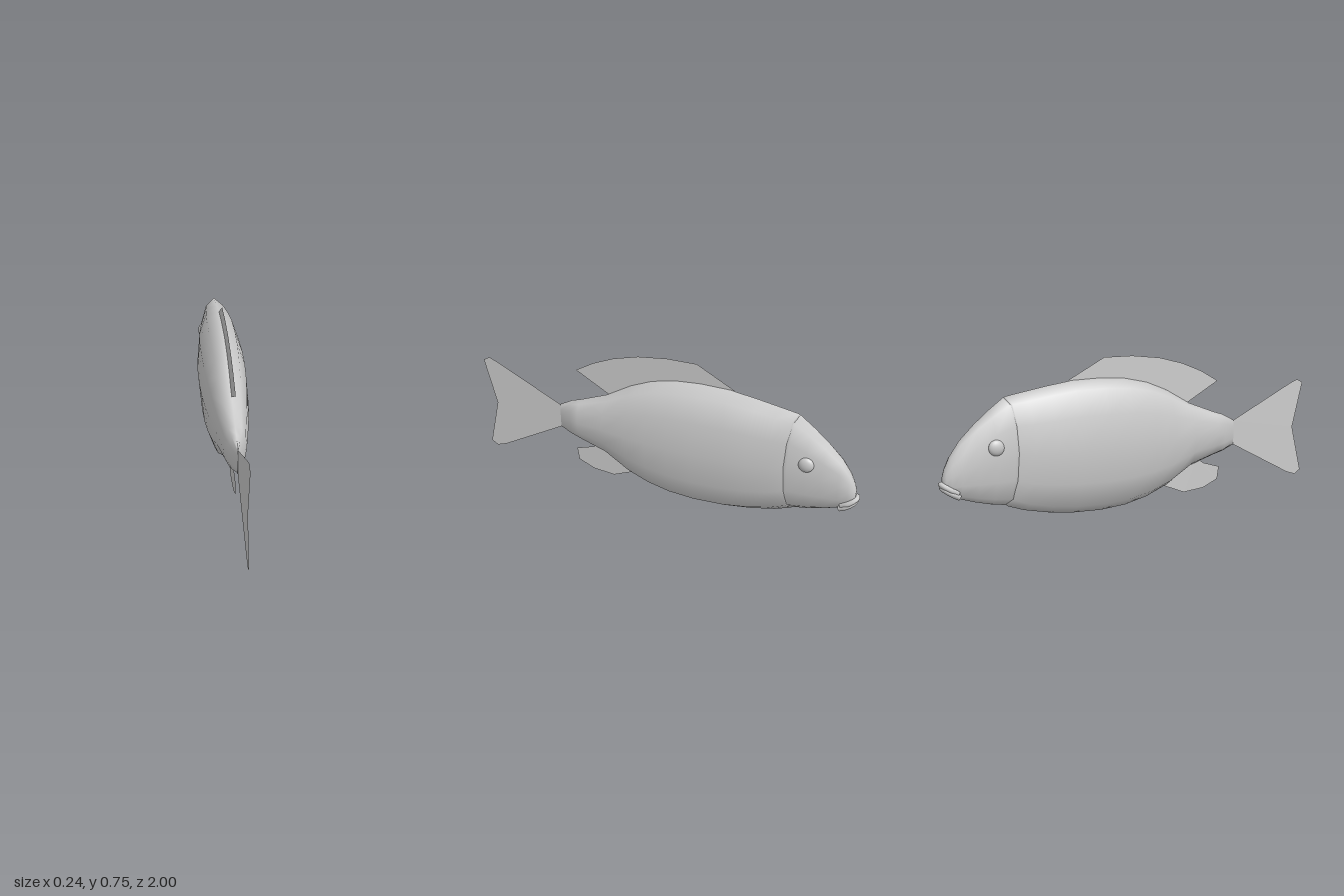
import * as THREE from 'three';

const SIDES = 12;
const grey = new THREE.MeshStandardMaterial({ color: 0xcccccc });
const thin = new THREE.MeshStandardMaterial({ color: 0xcccccc, side: THREE.DoubleSide });

function add(parent, name, geometry, material = grey) {
  const mesh = new THREE.Mesh(geometry, material);
  mesh.name = name;
  parent.add(mesh);
  return mesh;
}

// Skin over rings [z, top, bottom, halfWidth, bow], ordered from tail to nose.
// bow pushes the flanks of a ring backwards.
function loft(rings) {
  const pos = [], index = [];
  for (const [z, top, bottom, w, bow = 0] of rings) {
    for (let j = 0; j < SIDES; j++) {
      const a = (j / SIDES) * Math.PI * 2, s = Math.sin(a);
      pos.push(
        w * Math.sign(s) * Math.abs(s) ** 0.87,
        (top + bottom) / 2 + ((top - bottom) / 2) * Math.cos(a),
        z + bow * Math.abs(s));
    }
  }
  for (let i = 0; i < rings.length - 1; i++) {
    for (let j = 0; j < SIDES; j++) {
      const a = i * SIDES + j, b = i * SIDES + (j + 1) % SIDES;
      index.push(a, b, a + SIDES, b, b + SIDES, a + SIDES);
    }
  }
  // End caps
  const last = (rings.length - 1) * SIDES;
  for (let j = 1; j < SIDES - 1; j++) {
    index.push(0, j + 1, j, last, last + j, last + j + 1);
  }
  const g = new THREE.BufferGeometry();
  g.setAttribute('position', new THREE.Float32BufferAttribute(pos, 3));
  g.setIndex(index);
  g.computeVertexNormals();
  return g;
}

// Flat fin in the x = 0 plane from [z, y] outline points
function fin(points) {
  const shape = new THREE.Shape(points.map(([z, y]) => new THREE.Vector2(-z, y)));
  return new THREE.ShapeGeometry(shape).rotateY(Math.PI / 2);
}

export function createModel() {
  const fish = new THREE.Group();
  fish.name = 'fish';

  // Trunk from tail root to gill edge
  add(fish, 'body', loft([
    [0.56, 0.395, 0.265, 0.004],
    [0.49, 0.43, 0.235, 0.037],
    [0.44, 0.445, 0.222, 0.055],
    [0.29, 0.50, 0.175, 0.079],
    [0.16, 0.573, 0.09, 0.097],
    [0.05, 0.617, 0.043, 0.108],
    [-0.07, 0.642, 0.014, 0.116],
    [-0.2, 0.65, 0.002, 0.119],
    [-0.35, 0.645, 0.006, 0.117],
    [-0.48, 0.625, 0.022, 0.108, 0.01],
    [-0.6, 0.603, 0.047, 0.095, 0.03],
    [-0.68, 0.588, 0.075, 0.083, 0.04],
    [-0.692, 0.578, 0.085, 0.074, 0.045],
  ]));

  // Head, tucked just inside the gill edge
  add(fish, 'head', loft([
    [-0.64, 0.58, 0.08, 0.08, 0.03],
    [-0.69, 0.583, 0.082, 0.077, 0.03],
    [-0.76, 0.53, 0.093, 0.069, 0.02],
    [-0.83, 0.47, 0.11, 0.06, 0.01],
    [-0.9, 0.40, 0.132, 0.05],
    [-0.945, 0.335, 0.152, 0.041],
    [-0.97, 0.28, 0.172, 0.03],
    [-0.98, 0.245, 0.185, 0.018],
  ]));

  // Lips: two rounded U-shaped bands meeting at the front of the mouth
  const lip = (name, lift, reach) => {
    const path = new THREE.CatmullRomCurve3([
      [-0.03, 0.152, -0.915], [-0.035, 0.172, -0.95], [-0.022, 0.19, -0.977], [0, 0.195, -0.984],
      [0.022, 0.19, -0.977], [0.035, 0.172, -0.95], [0.03, 0.152, -0.915],
    ].map(([x, y, z]) => new THREE.Vector3(x, y + lift, z + reach)));
    add(fish, name, new THREE.TubeGeometry(path, 20, 0.013, 8));
  };
  lip('upperLip', 0.013, -0.003);
  lip('lowerLip', -0.005, 0.002);

  // Eyes
  for (const side of [-1, 1]) {
    const eye = add(fish, side > 0 ? 'leftEye' : 'rightEye', new THREE.SphereGeometry(1, 20, 14));
    eye.scale.set(0.02, 0.037, 0.037);
    eye.position.set(side * 0.064, 0.365, -0.747);
  }

  // Fins
  add(fish, 'tailFin', fin([
    [0.555, 0.39], [0.92, 0.57], [0.965, 0.588], [1, 0.57], [0.94, 0.33],
    [1, 0.09], [0.965, 0.067], [0.91, 0.085], [0.555, 0.268],
  ]), thin);
  add(fish, 'dorsalFin', fin([
    [0.25, 0.485], [0.46, 0.605], [0.36, 0.66], [0.25, 0.703], [0.12, 0.735],
    [-0.03, 0.75], [-0.18, 0.748], [-0.37, 0.645], [0, 0.58],
  ]), thin);
  add(fish, 'analFin', fin([
    [0.34, 0.21], [0.38, 0.183], [0.475, 0.155], [0.465, 0.09], [0.38, 0.052],
    [0.265, 0.04], [0.15, 0.085], [0.15, 0.13],
  ]), thin);

  return fish;
}
